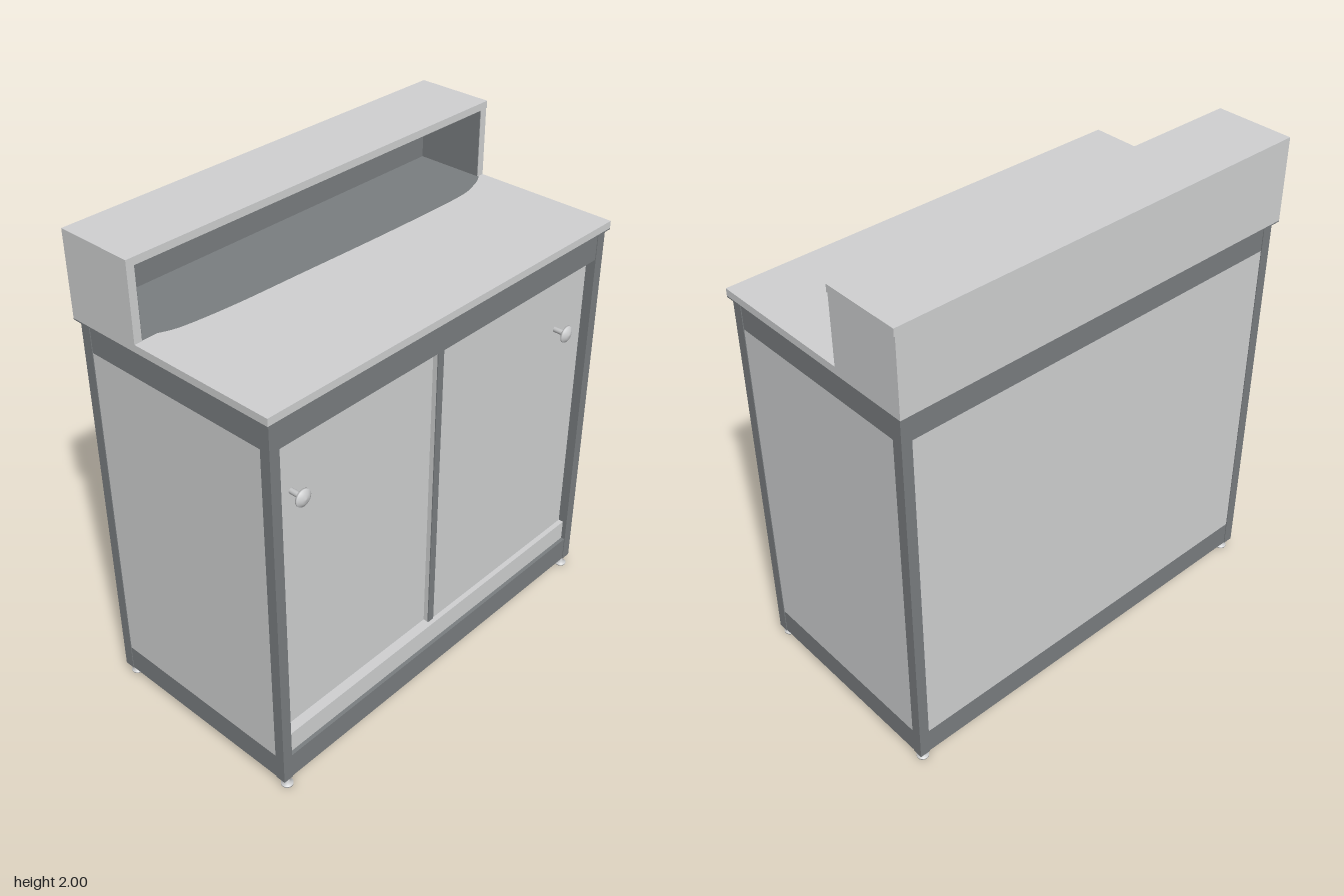
import * as THREE from 'three';

export function createModel() {
  const model = new THREE.Group();
  model.name = 'serviceCounter';
  const light = new THREE.MeshStandardMaterial({ color: 0xd0d1d2 });
  light.name = 'light laminate';
  const dark = new THREE.MeshStandardMaterial({ color: 0x7a7e80 });
  dark.name = 'dark grey';

  function add(name, geometry, material, parent = model) {
    const mesh = new THREE.Mesh(geometry, material);
    mesh.name = name;
    parent.add(mesh);
    return mesh;
  }
  // Box from its minimum and maximum on each axis
  function box(name, x0, x1, y0, y1, z0, z1, material) {
    const mesh = add(name, new THREE.BoxGeometry(x1 - x0, y1 - y0, z1 - z0), material);
    mesh.position.set((x0 + x1) / 2, (y0 + y1) / 2, (z0 + z1) / 2);
    return mesh;
  }

  const L = -0.894, R = 0.889, F = 0.455, B = -0.463; // cabinet limits
  const P = 0.043; // post width
  const y0 = 0.04, yLow = 0.15, yHigh = 1.54, yTop = 1.655;

  // Corner posts
  for (const x of [L, R - P])
    for (const z of [B, F - P]) box('cornerPost', x, x + P, y0, yTop, z, z + P, dark);

  // Rails on all four sides, just behind the post faces
  const g = 0.003;
  for (const [a, b] of [[y0, yLow], [yHigh, yTop]]) {
    box('frontRail', L + P, R - P, a, b, F - P, F - g, dark);
    box('backRail', L + P, R - P, a, b, B + g, B + P, dark);
    box('leftRail', R - P, R - g, a, b, B + P, F - P, dark);
    box('rightRail', L + g, L + P, a, b, B + P, F - P, dark);
  }

  // Infill panels
  box('backPanel', L + P, R - P, yLow, yHigh, B + g, B + 0.03, light);
  box('leftPanel', R - 0.03, R - g, yLow, yHigh, B + P, F - P, light);
  box('rightPanel', L + g, L + 0.03, yLow, yHigh, B + P, F - P, light);
  box('cabinetFloor', L + P, R - P, y0, y0 + 0.02, B + P, F - P, dark);

  // Sliding doors, each with a low kick panel, dark pull strip and knob
  const knobProfile = [[0, 0], [0.011, 0], [0.011, 0.04], [0.02, 0.045], [0.035, 0.053],
    [0.034, 0.059], [0.018, 0.068], [0, 0.071]].map(([r, y]) => new THREE.Vector2(r, y));
  const knobGeometry = new THREE.LatheGeometry(knobProfile, 24).rotateX(Math.PI / 2);
  const split = -0.043;
  for (const [a, b, z, knobX] of [[L + P, split, 0.394, -0.75], [split, R - P, 0.414, 0.67]]) {
    box('slidingDoor', a, b, yLow, yHigh, z - 0.02, z, light);
    box('lowerDoorPanel', a, b, yLow, 0.24, z, 0.436, light);
    box('pullStrip', a, a + 0.031, 0.24, yHigh, z, z + 0.004, dark);
    add('knob', knobGeometry, light).position.set(knobX, 1.292, z);
  }

  // Adjustable feet
  const footProfile = [[0, 0], [0.024, 0], [0.024, 0.006], [0.01, 0.014], [0.01, 0.045]]
    .map(([r, y]) => new THREE.Vector2(r, y));
  const footGeometry = new THREE.LatheGeometry(footProfile, 20);
  for (const x of [-0.864, 0.858])
    for (const z of [-0.433, 0.437]) add('foot', footGeometry, light).position.set(x, 0, z);

  // Worktop with a dark underside
  const TL = -0.907, TR = 0.903, TF = 0.467, TB = -0.484;
  box('worktop', TL, TR, 1.66, 1.69, TB, TF, light);
  box('worktopUnderside', TL, TR, yTop, 1.66, TB, TF, dark);

  // Raised shelf: two sides, back and top
  const SF = -0.156, t = 0.032, back = -0.45;
  box('shelfTop', TL, 0.907, 1.97, 2, TB, SF, light);
  box('shelfBack', TL, TR, 1.69, 1.97, TB, back, light);
  box('shelfRightSide', TL, TL + t, 1.69, 1.97, back, SF, light);
  box('shelfLeftSide', TR - t, TR, 1.69, 1.97, back, SF, light);

  // Dark lining inside the shelf
  box('backLining', TL + t, TR - t, 1.69, 1.97, back, back + 0.003, dark);
  box('rightLining', TL + t, TL + t + 0.003, 1.69, 1.97, back, SF - 0.002, dark);
  box('leftLining', TR - t - 0.003, TR - t, 1.69, 1.97, back, SF - 0.002, dark);
  box('topLining', TL + t, TR - t, 1.967, 1.97, back, SF - 0.002, dark);

  // Dark area of the worktop below the shelf, with a curved front edge
  const area = new THREE.Shape();
  area.moveTo(TL + t, -back);
  area.lineTo(TL + t, -SF);
  area.lineTo(-0.81, -SF);
  area.splineThru([[-0.72, 0.128], [-0.5, 0.108], [-0.2, 0.099], [0.25, 0.087], [0.66, 0.087],
    [0.8, 0.115], [TR - t, 0.15]].map(([x, y]) => new THREE.Vector2(x, y)));
  area.lineTo(TR - t, -back);
  const areaGeometry = new THREE.ShapeGeometry(area).rotateX(-Math.PI / 2);
  add('darkWorktopArea', areaGeometry, dark).position.y = 1.692;

  return model;
}
